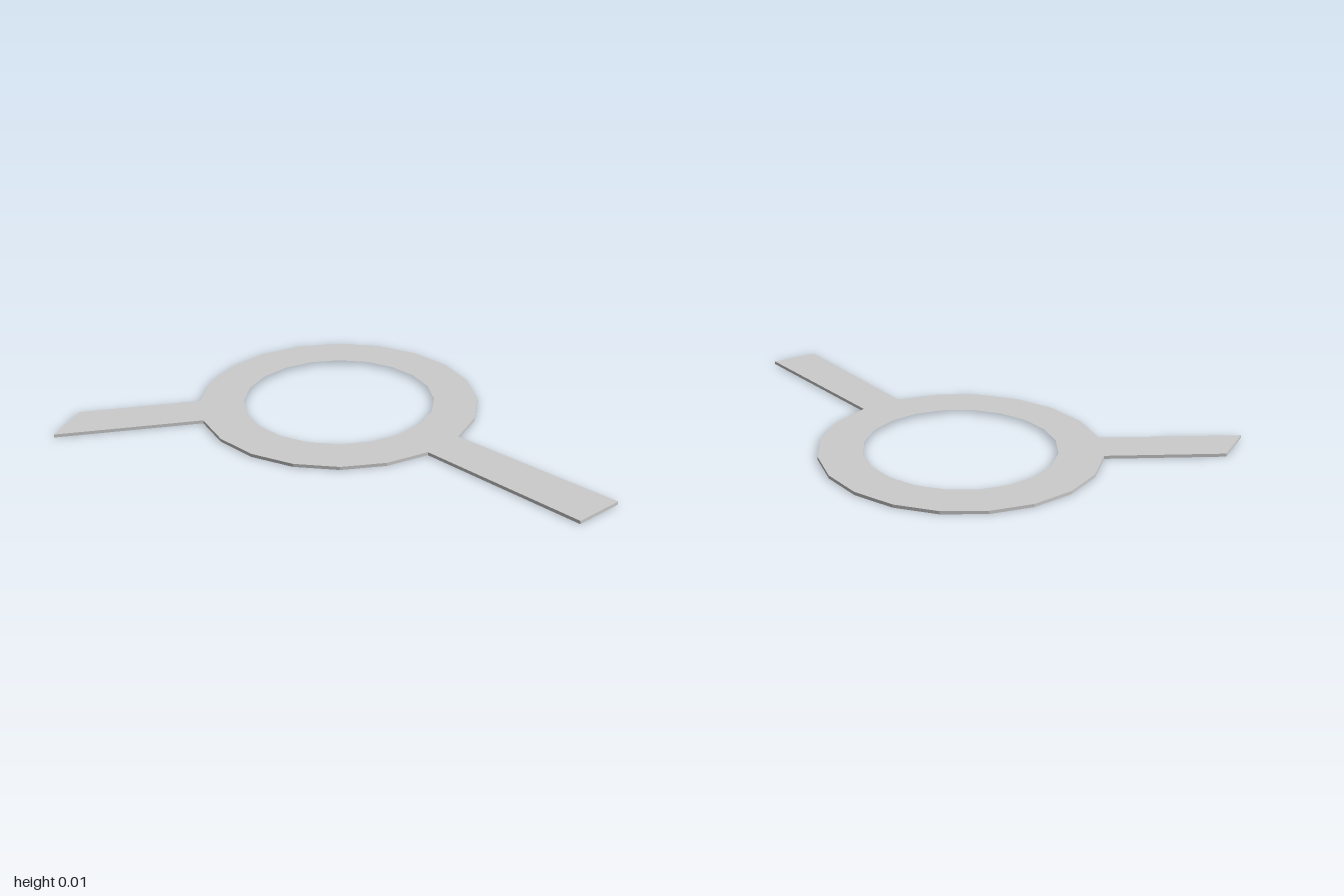
import * as THREE from 'three';

const SIDES = 20;
const CENTRE = { x: -0.105, z: -0.047 };
const OUTER = 0.525, INNER = 0.36, THICKNESS = 0.012;

// Corner i of a 20-sided ring, in plan (shape y is -z)
function corner(i, radius) {
  const a = (i / SIDES) * Math.PI * 2;
  return new THREE.Vector2(CENTRE.x + radius * Math.cos(a), -(CENTRE.z + radius * Math.sin(a)));
}

// Arm ends [x, z], inserted into the outline after the given ring corner
const armEnds = {
  1: [[1, 0.411], [0.9, 0.569]],
  8: [[-1, 0.521], [-0.996, 0.332]],
};

export function createModel() {
  const group = new THREE.Group();
  group.name = 'ringBracket';

  // Ring and both arms share one continuous outline
  const outline = [], hole = [];
  for (let i = 0; i < SIDES; i++) {
    outline.push(corner(i, OUTER));
    for (const [x, z] of armEnds[i] ?? []) outline.push(new THREE.Vector2(x, -z));
    hole.push(corner(i, INNER));
  }
  const shape = new THREE.Shape(outline);
  shape.holes.push(new THREE.Path(hole));

  // Flat plate lying on the ground
  const geometry = new THREE.ExtrudeGeometry(shape, { depth: THICKNESS, bevelEnabled: false });
  geometry.rotateX(-Math.PI / 2);
  const plate = new THREE.Mesh(
    geometry,
    new THREE.MeshStandardMaterial({ color: 0xcccccc, flatShading: true })
  );
  plate.name = 'ringPlateWithArms';
  group.add(plate);
  return group;
}
